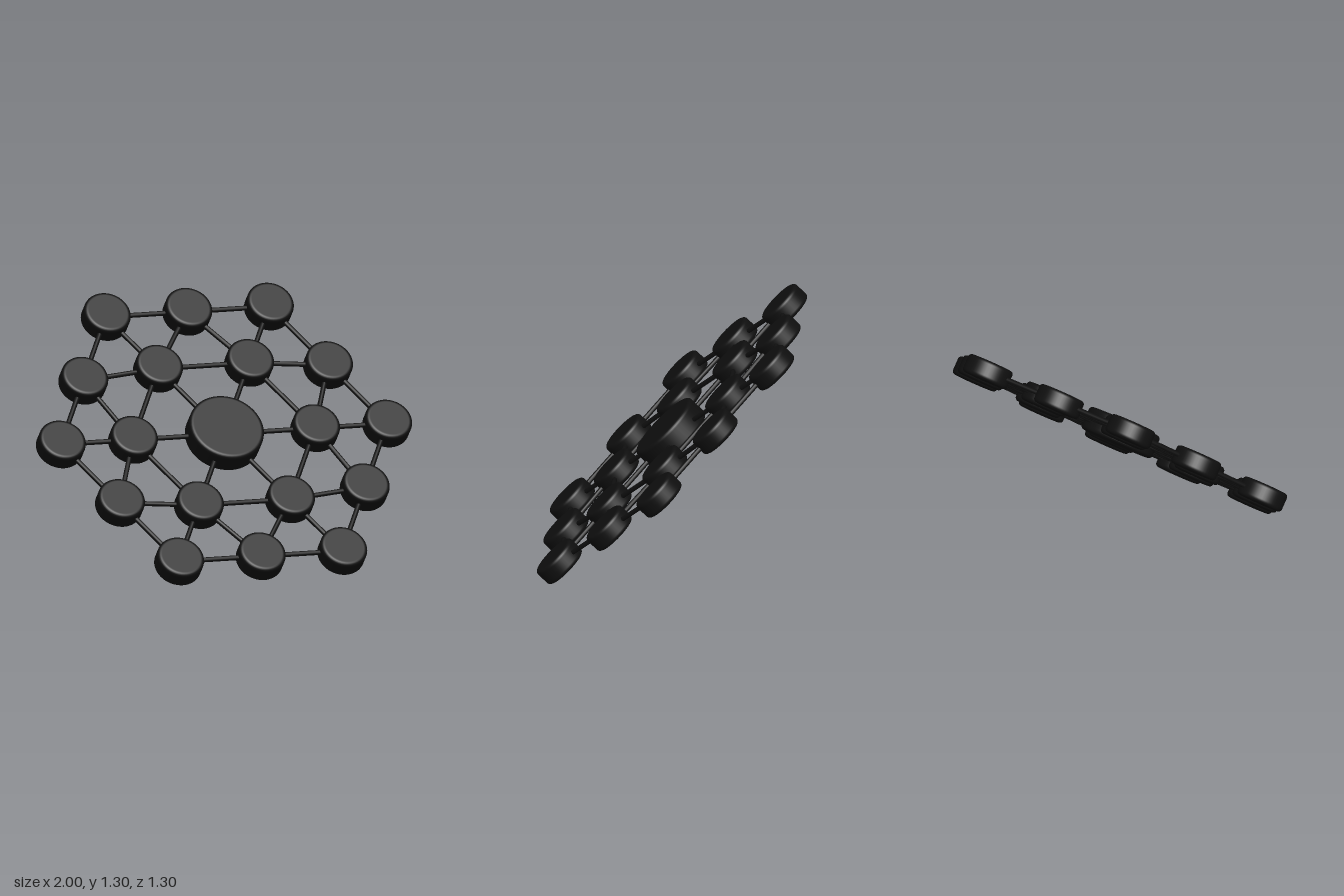
import * as THREE from 'three';

const black = new THREE.MeshStandardMaterial({ color: 0x0f0f0f });

// Disc with rounded rims, lathed about y
function discGeometry(radius, half, bevel) {
  const pts = [new THREE.Vector2(0, -half), new THREE.Vector2(radius - bevel - 0.004, -half)];
  const arc = (cy, from) => {
    for (let i = 0; i <= 5; i++) {
      const a = from + (i / 5) * Math.PI / 2;
      pts.push(new THREE.Vector2(radius - bevel + bevel * Math.cos(a), cy + bevel * Math.sin(a)));
    }
  };
  arc(-half + bevel, -Math.PI / 2);
  pts.push(new THREE.Vector2(radius, -half + bevel + 0.004), new THREE.Vector2(radius, half - bevel - 0.004));
  arc(half - bevel, 0);
  pts.push(new THREE.Vector2(radius - bevel - 0.004, half), new THREE.Vector2(0, half));
  return new THREE.LatheGeometry(pts, 48);
}

// Corner i of a hexagon lying in the xz plane
function corner(radius, i) {
  const a = i * Math.PI / 3;
  return new THREE.Vector3(radius * Math.cos(a), 0, radius * Math.sin(a));
}

export function createModel() {
  const model = new THREE.Group();
  model.name = 'hexagonalDiscLattice';
  const lattice = new THREE.Group();
  lattice.name = 'tiltedLattice';
  lattice.rotation.x = Math.PI / 4;
  lattice.position.y = 0.655;
  model.add(lattice);

  const smallDisc = discGeometry(0.122, 0.049, 0.018);
  const addDisc = (name, geometry, position) => {
    const mesh = new THREE.Mesh(geometry, black);
    mesh.name = name;
    mesh.position.copy(position);
    lattice.add(mesh);
  };
  const up = new THREE.Vector3(0, 1, 0);
  const addRod = (name, a, b) => {
    const dir = b.clone().sub(a);
    const mesh = new THREE.Mesh(new THREE.CylinderGeometry(0.0125, 0.0125, dir.length(), 12), black);
    mesh.name = name;
    mesh.position.copy(a).add(b).multiplyScalar(0.5);
    mesh.quaternion.setFromUnitVectors(up, dir.normalize());
    lattice.add(mesh);
  };

  // Large hub, set slightly forward
  const centre = new THREE.Vector3();
  addDisc('hubDisc', discGeometry(0.195, 0.061, 0.018), new THREE.Vector3(0, 0.008, 0));

  // Six sectors: inner disc, outer corner disc, outer edge disc and their rods
  for (let i = 0; i < 6; i++) {
    const inner = corner(0.49, i), nextInner = corner(0.49, i + 1);
    const outer = corner(0.878, i), nextOuter = corner(0.878, i + 1);
    const edge = outer.clone().lerp(nextOuter, 0.5);

    addDisc('innerDisc', smallDisc, inner);
    addDisc('outerCornerDisc', smallDisc, outer);
    addDisc('outerEdgeDisc', smallDisc, edge);

    addRod('hubSpoke', centre, inner);
    addRod('cornerSpoke', inner, outer);
    addRod('innerRingRod', inner, nextInner);
    addRod('edgeBrace', inner, edge);
    addRod('edgeBrace', nextInner, edge);
    addRod('outerRingRod', outer, edge);
    addRod('outerRingRod', edge, nextOuter);
  }
  return model;
}
